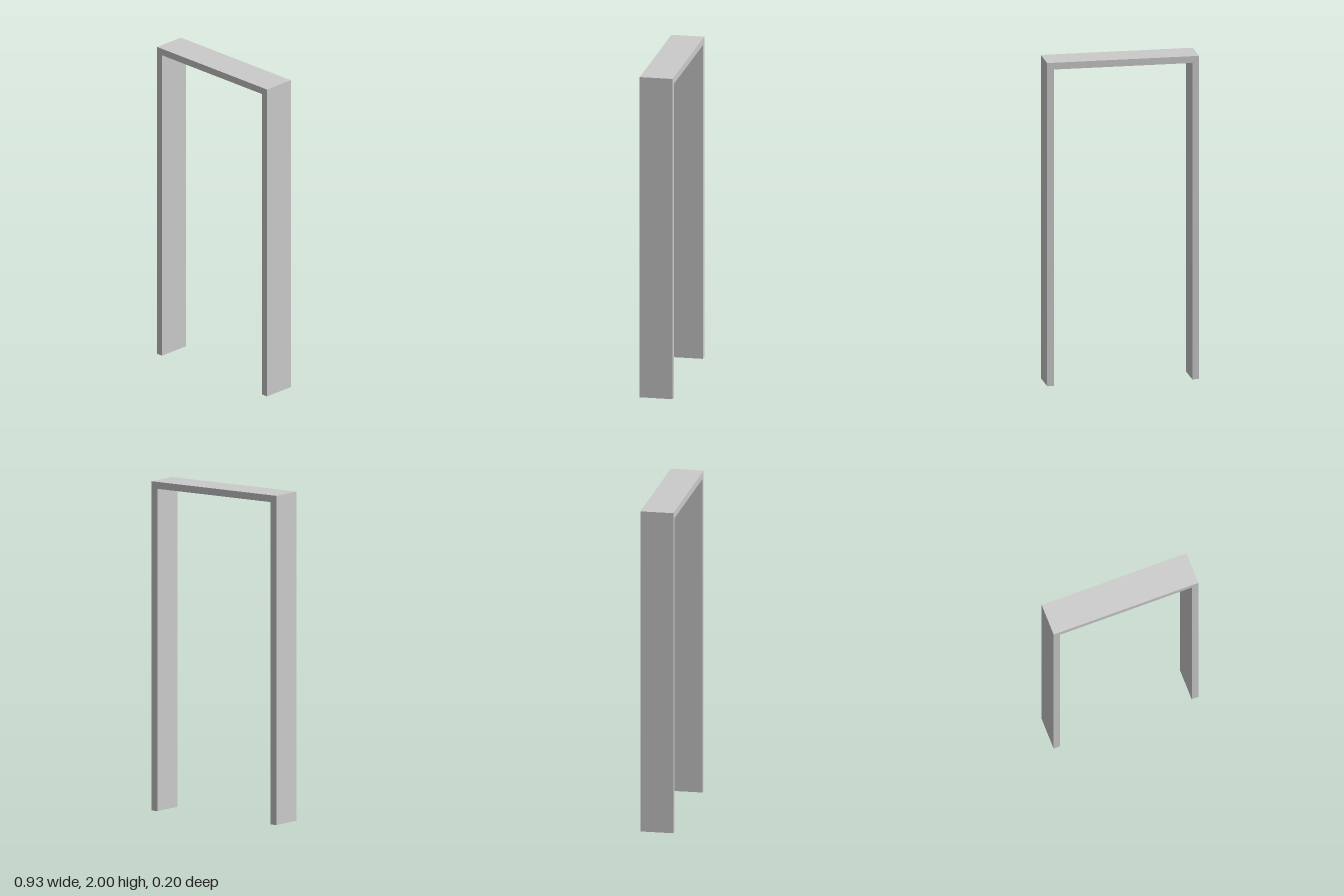
import * as THREE from 'three';

const HALF_WIDTH = 0.464, HEIGHT = 2, DEPTH = 0.202, THICKNESS = 0.042;

export function createModel() {
  const model = new THREE.Group();
  model.name = 'doorFrame';

  // Frame outline: two jambs joined by a header, open at the floor
  const inner = HALF_WIDTH - THICKNESS, soffit = HEIGHT - THICKNESS;
  const outline = new THREE.Shape([
    [-HALF_WIDTH, 0], [-inner, 0], [-inner, soffit], [inner, soffit],
    [inner, 0], [HALF_WIDTH, 0], [HALF_WIDTH, HEIGHT], [-HALF_WIDTH, HEIGHT],
  ].map(([x, y]) => new THREE.Vector2(x, y)));

  // Extruded through the wall depth and centred on z
  const geometry = new THREE.ExtrudeGeometry(outline, { depth: DEPTH, bevelEnabled: false });
  geometry.translate(0, 0, -DEPTH / 2);

  const frame = new THREE.Mesh(geometry, new THREE.MeshStandardMaterial({ color: 0xcccccc }));
  frame.name = 'jambsAndHeader';
  model.add(frame);
  return model;
}
